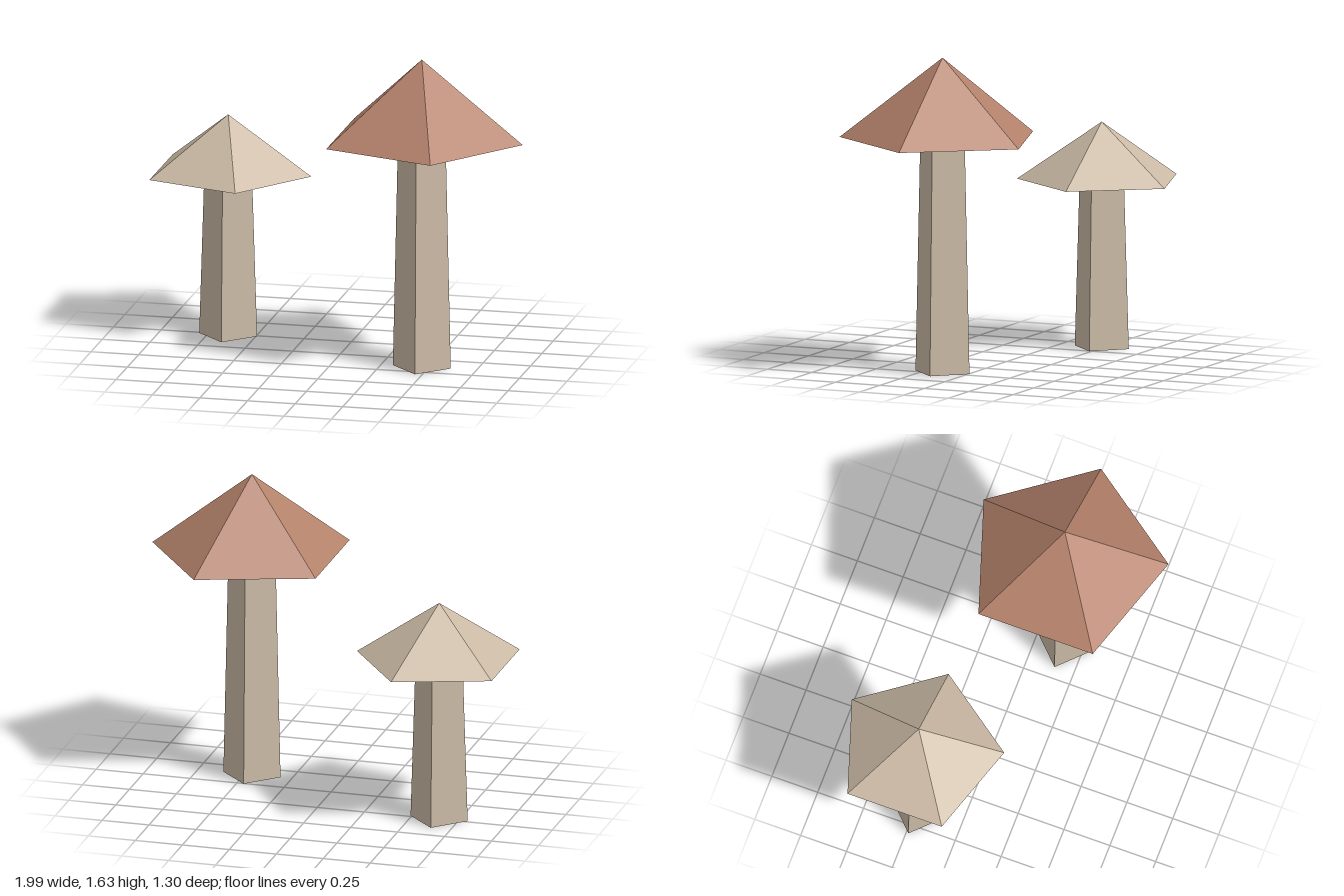
import * as THREE from 'three';

const cream = new THREE.MeshStandardMaterial({ color: 0xcbbaa5, flatShading: true });
cream.name = 'cream';
const terracotta = new THREE.MeshStandardMaterial({ color: 0xb5826b, flatShading: true });
terracotta.name = 'terracotta';

function part(name, geometry, material, y) {
  const mesh = new THREE.Mesh(geometry, material);
  mesh.name = name;
  mesh.position.y = y;
  return mesh;
}

// One mushroom: square tapered stem, five-sided cap with a shallow sunken underside
function mushroom(name, { x, z, radius, rim, apex, under, material }) {
  const group = new THREE.Group();
  group.name = name;
  group.position.set(x, 0, z);

  const stem = new THREE.CylinderGeometry(0.125, 0.152, rim, 4);
  group.add(part('stem', stem, cream, rim / 2));

  // Cap corners start on +x
  const top = new THREE.ConeGeometry(radius, apex - rim, 5, 1, true);
  top.rotateY(Math.PI / 2);
  group.add(part('capTop', top, material, (apex + rim) / 2));

  const below = new THREE.CylinderGeometry(radius, 0, rim - under, 5, 1, true);
  below.rotateY(Math.PI / 2);
  group.add(part('capUnderside', below, material, (rim + under) / 2));
  return group;
}

export function createModel() {
  const model = new THREE.Group();
  model.name = 'mushrooms';
  model.add(
    mushroom('tallMushroom', {
      x: 0.463, z: 0.146, radius: 0.53, rim: 1.207, apex: 1.626, under: 1.168, material: terracotta,
    }),
    mushroom('shortMushroom', {
      x: -0.645, z: -0.238, radius: 0.437, rim: 0.864, apex: 1.166, under: 0.828, material: cream,
    }),
  );
  return model;
}
